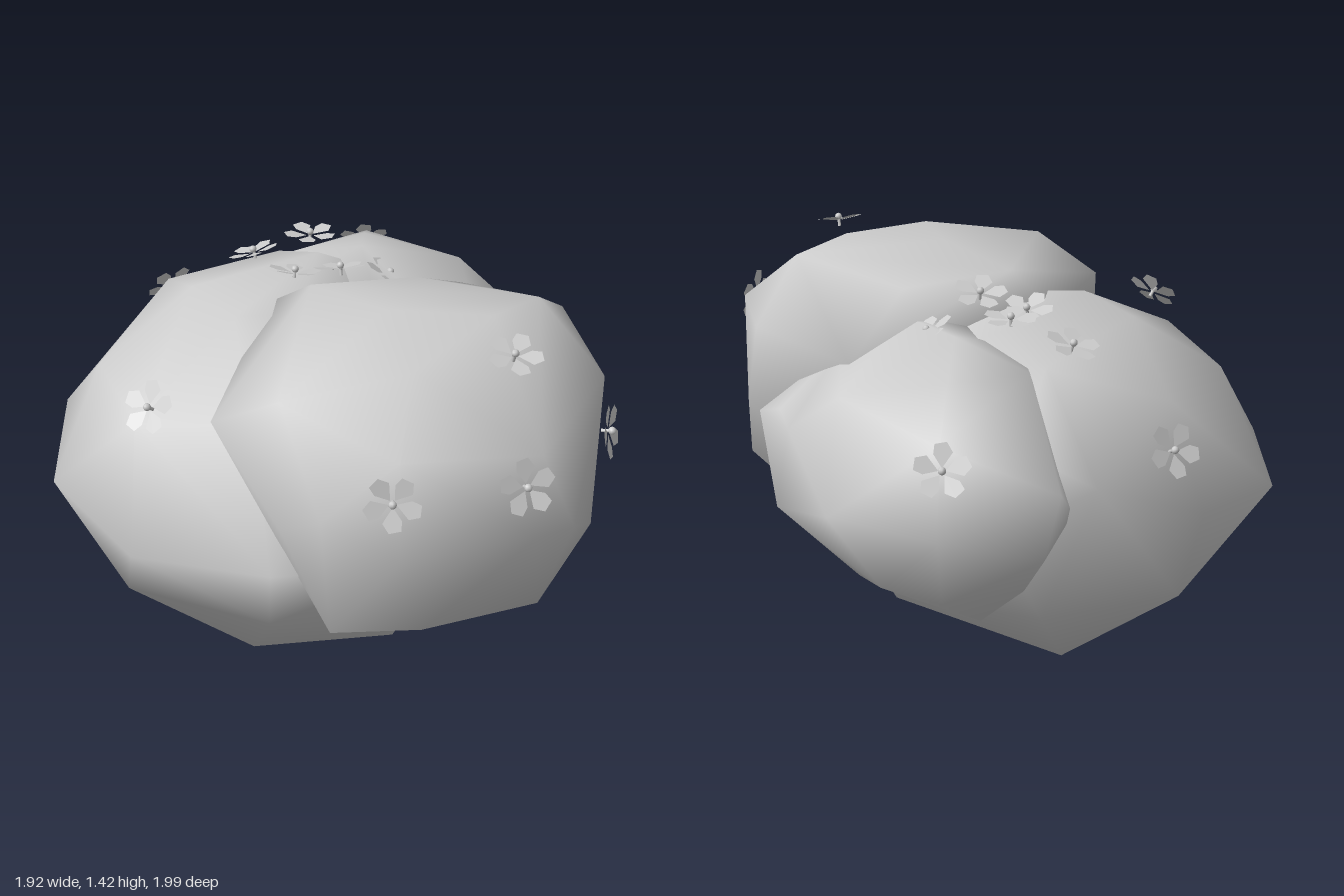
import * as THREE from 'three';
import { mergeVertices } from 'three/addons/utils/BufferGeometryUtils.js';
import { ConvexGeometry } from 'three/addons/geometries/ConvexGeometry.js';

const grey = new THREE.MeshStandardMaterial({ color: 0xcccccc, side: THREE.DoubleSide });
grey.name = 'pale grey';

// Coarse foliage mass: a hull around a few points, shaded smooth
function clump(name, points) {
  let geo = new ConvexGeometry(points.map((p) => new THREE.Vector3(...p)));
  geo.deleteAttribute('normal');
  geo = mergeVertices(geo, 1e-4);
  geo.computeVertexNormals();
  const mesh = new THREE.Mesh(geo, grey);
  mesh.name = name;
  return mesh;
}

// One petal: narrow base, broad outer end, rising slightly
function petalGeometry() {
  const shape = new THREE.Shape();
  shape.moveTo(0, 0.012);
  shape.lineTo(0.034, 0.06);
  shape.lineTo(0.016, 0.092);
  shape.lineTo(-0.022, 0.086);
  shape.lineTo(-0.026, 0.055);
  const geo = new THREE.ShapeGeometry(shape);
  geo.rotateX(0.15);
  return geo;
}

const petal = petalGeometry();
const bead = new THREE.SphereGeometry(0.013, 8, 6);
const stalk = new THREE.CylinderGeometry(0.006, 0.006, 0.03, 6).rotateX(Math.PI / 2);

// Five-petalled flower looking along the given direction
function flower(position, direction, spin) {
  const group = new THREE.Group();
  group.name = 'flower';
  for (let i = 0; i < 5; i++) {
    const p = new THREE.Mesh(petal, grey);
    p.name = 'petal';
    p.rotation.z = spin + (i * Math.PI * 2) / 5;
    group.add(p);
  }
  const centre = new THREE.Mesh(bead, grey);
  centre.name = 'flowerCentre';
  centre.position.z = 0.015;
  const stem = new THREE.Mesh(stalk, grey);
  stem.name = 'flowerStalk';
  stem.position.z = -0.005;
  group.add(centre, stem);
  const n = new THREE.Vector3(...direction).normalize();
  group.position.set(...position);
  group.quaternion.setFromUnitVectors(new THREE.Vector3(0, 0, 1), n);
  return group;
}

export function createModel() {
  const bush = new THREE.Group();
  bush.name = 'floweringBush';

  // Large clump reaching the ground
  bush.add(clump('mainClump', [
    [-0.96, 0.71, -0.23], [-0.92, 0.7, 0.29], [-0.86, 0.44, 0], [-0.78, 1.03, 0.05],
    [-0.47, 1.26, -0.1], [-0.3, 1.27, 0.12], [-0.1, 1.27, 0.1], [-0.54, 0.2, -0.12],
    [-0.13, 0.005, 0.04], [0.25, 0.11, 0.32], [0.52, 0.38, 0], [0.62, 0.7, 0.1],
    [0.58, 0.75, -0.3], [0.4, 1.1, 0], [-0.72, 0.75, -0.55], [-0.38, 0.9, -0.72],
    [-0.12, 1, -0.67], [-0.05, 0.7, -0.68], [-0.2, 0.38, -0.62], [-0.26, 0.12, -0.4],
    [0.3, 0.35, -0.45], [0.3, 0.8, -0.6], [-0.65, 0.42, -0.5], [-0.6, 1.1, -0.45],
    [-0.2, 1.21, -0.48], [-0.05, 1.28, -0.34], [0.2, 1.2, -0.35], [-0.6, 0.68, 0.68],
    [-0.13, 0.75, 0.86], [-0.15, 0.44, 0.7], [-0.23, 0.14, 0.45], [-0.65, 0.4, 0.48],
    [-0.6, 1.05, 0.45], [-0.2, 1.12, 0.55], [0.35, 0.7, 0.7], [0.2, 1.1, 0.45],
  ]));

  // Raised clump at the front left
  bush.add(clump('frontClump', [
    [-0.33, 1.17, 0.62], [-0.33, 1.11, 0.47], [-0.11, 1.3, 0.7], [-0.1, 0.92, 0.84],
    [0.03, 1, 0.91], [0.28, 0.9, 0.96], [0.27, 1.23, 0.92], [0.69, 0.95, 0.88],
    [0.7, 1.2, 0.8], [0.83, 0.8, 0.6], [0.92, 1.17, 0.27], [0.92, 0.57, 0.25],
    [0.88, 0.85, 0.05], [0.8, 1.2, -0.14], [0.45, 1.16, -0.37], [0.7, 1.375, 0.12],
    [0.55, 1.4, 0.3], [0.2, 1.395, 0.27], [-0.05, 1.36, 0.05], [0.3, 1.33, -0.08],
    [0.3, 1.36, 0.6], [0.12, 0.42, 0.1], [0.57, 0.38, 0.03], [0.17, 0.4, 0.63],
    [0.06, 0.57, 0.9], [0.35, 0.58, 0.88], [0.72, 0.58, 0.72], [-0.1, 0.7, 0.4],
    [-0.2, 1.25, -0.02], [-0.06, 0.62, 0.65], [0.4, 0.8, -0.2], [0, 0.8, -0.1],
  ]));

  // Smaller clump at the back
  bush.add(clump('backClump', [
    [0.1, 0.83, -1], [0.1, 1.1, -0.88], [0.46, 0.84, -0.86], [0.63, 1, -0.54],
    [0, 0.37, -0.63], [0.4, 0.52, -0.62], [0.8, 0.9, -0.15], [-0.27, 0.95, -0.88],
    [-0.22, 0.72, -0.87], [-0.15, 0.55, -0.75], [-0.3, 0.78, -0.64], [0.1, 0.56, -0.88],
    [0.3, 0.58, -0.82], [0.1, 1.21, -0.64], [0.1, 1.28, -0.4], [0.45, 1.14, -0.6],
    [-0.15, 1.2, -0.5], [-0.1, 1.22, -0.3], [0.72, 0.62, -0.33], [0.55, 0.5, -0.3],
    [0.5, 1.16, -0.2], [0.7, 0.97, -0.3], [0.3, 1.24, -0.1], [0.2, 1.2, 0.1],
    [0.75, 0.88, -0.06], [0.72, 0.72, -0.12], [0.2, 0.45, -0.4],
  ]));

  // Flowers: position, then facing direction
  const flowers = [
    [[-0.54, 1.14, 0.5], [-0.4, 0.6, 0.65]],
    [[0.25, 1.11, 0.95], [0, 0.3, 1]],
    [[0.65, 1.13, 0.87], [0.3, 0.4, 0.8]],
    [[0.61, 1.38, 0.52], [0.15, 1, 0.3]],
    [[0.92, 1.1, 0.49], [1, 0.2, 0.3]],
    [[0.09, 1.04, -0.93], [-0.1, 0.6, -0.8]],
    [[-0.61, 0.99, -0.6], [-0.5, 0.5, -0.75]],
    [[-0.28, 1.25, -0.38], [-0.3, 1, -0.2]],
    [[-0.08, 1.33, -0.37], [0, 1, -0.05]],
    [[-0.12, 1.29, -0.16], [0.1, 1, -0.3]],
    [[0.04, 1.33, -0.12], [-0.1, 1, -0.35]],
    [[0.2, 1.24, -0.26], [0.5, 1, -0.1]],
  ];
  flowers.forEach(([p, d], i) => bush.add(flower(p, d, i * 0.7)));
  return bush;
}
